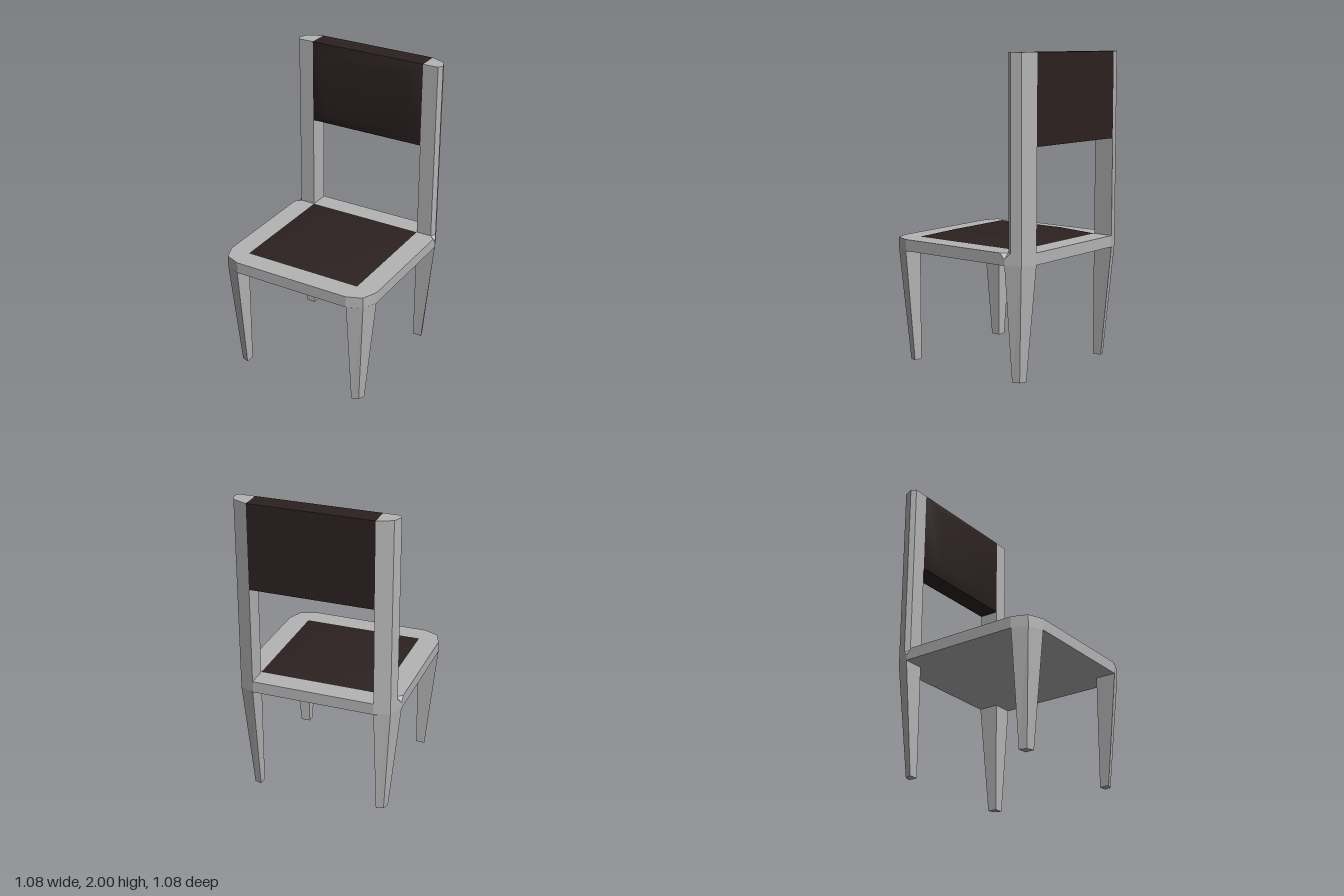
import * as THREE from 'three';
import { mergeVertices } from 'three/addons/utils/BufferGeometryUtils.js';

// Convex polygons become triangle fans, each turned away from the part's centre.
function solid(faces, centre, smooth = false) {
  const c = new THREE.Vector3(...centre);
  const pos = [];
  for (const face of faces) {
    const p = face.map(v => new THREE.Vector3(...v));
    const n = new THREE.Vector3();
    p.forEach((a, i) => n.add(a.clone().sub(c).cross(p[(i + 1) % p.length].clone().sub(c))));
    if (n.dot(p[0].clone().sub(c)) < 0) p.reverse();
    for (let i = 1; i < p.length - 1; i++) {
      for (const v of [p[0], p[i], p[i + 1]]) pos.push(v.x, v.y, v.z);
    }
  }
  let geo = new THREE.BufferGeometry();
  geo.setAttribute('position', new THREE.Float32BufferAttribute(pos, 3));
  if (smooth) geo = mergeVertices(geo);
  geo.computeVertexNormals();
  return geo;
}

// Faces of a body between two rings with the same number of corners.
function loft(a, b, caps = true) {
  const sides = a.map((p, i) => {
    const j = (i + 1) % a.length;
    return [p, a[j], b[j], b[i]];
  });
  return caps ? [...sides, a, b] : [...sides, b];
}

const ring = (xz, y) => xz.map(([x, z]) => [x, y, z]);
const flip = pts => pts.map(([x, y, z]) => [-x, y, z]);
const rect = (w, h) => [[-w, -h], [w, -h], [w, h], [-w, h]];

export function createModel() {
  const model = new THREE.Group();
  const frame = new THREE.MeshStandardMaterial({ color: 0xb4b4b4 });
  frame.name = 'greyFrame';
  const leather = new THREE.MeshStandardMaterial({ color: 0x2c2121 });
  leather.name = 'darkUpholstery';

  const add = (name, geo, mat) => {
    const mesh = new THREE.Mesh(geo, mat);
    mesh.name = name;
    model.add(mesh);
    return mesh;
  };

  const y0 = 0.735, y1 = 0.81;

  // Seat slab with chamfered corners and a small notch beside each post
  const A = [0.54, y1, -0.37], B = [0.54, 0.775, -0.403];
  const C = [0.525, y1, -0.437], D = [0.505, y1, -0.405];
  const half = [
    [[0.4, y0, 0.54], [0.5, y0, 0.5], [0.5, y1, 0.5], [0.4, y1, 0.54]],
    [[0.5, y0, 0.5], [0.54, y0, 0.4], [0.54, y1, 0.4], [0.5, y1, 0.5]],
    [[0.54, y0, 0.4], [0.54, y0, -0.403], B, A, [0.54, y1, 0.4]],
    [[0.54, y0, -0.403], [0.5, y0, -0.5], [0.5, y1, -0.5], C, B],
    [[0.5, y0, -0.5], [0.4, y0, -0.54], [0.4, y1, -0.54], [0.5, y1, -0.5]],
    [A, B, D], [D, B, C],
  ];
  const across = pts => [...pts, ...flip(pts).reverse()];
  const seatFaces = [
    ...half, ...half.map(flip),
    across([[0.4, y0, 0.54], [0.4, y1, 0.54]]),
    across([[0.4, y0, -0.54], [0.4, y1, -0.54]]),
    across([[0.4, y1, 0.54], [0.5, y1, 0.5], [0.54, y1, 0.4], A, D]),
    across([D, C, [0.5, y1, -0.5], [0.4, y1, -0.54]]),
    across([[0.4, y0, 0.54], [0.5, y0, 0.5], [0.54, y0, 0.4],
      [0.54, y0, -0.403], [0.5, y0, -0.5], [0.4, y0, -0.54]]),
  ];
  add('seat', solid(seatFaces, [0, 0.77, 0]), frame);

  // Tapered legs, straight on the inside, slanted on the outside
  const footPlan = [[0.403, 0.403], [0.465, 0.403], [0.45, 0.45], [0.403, 0.465]];
  const legPlan = [[0.403, 0.403], [0.54, 0.403], [0.5, 0.5], [0.403, 0.54]];
  for (const sx of [1, -1]) {
    for (const sz of [1, -1]) {
      const place = plan => plan.map(([x, z]) => [x * sx, z * sz]);
      const geo = solid(loft(ring(place(footPlan), 0), ring(place(legPlan), y0)),
        [0.44 * sx, 0.4, 0.44 * sz]);
      add((sz > 0 ? 'front' : 'back') + (sx > 0 ? 'Left' : 'Right') + 'Leg', geo, frame);
    }
  }

  // Back posts with a chamfered front corner
  const postPlan = [[0.402, -0.405], [0.505, -0.405], [0.525, -0.437], [0.5, -0.5], [0.402, -0.54]];
  for (const s of [1, -1]) {
    const plan = postPlan.map(([x, z]) => [x * s, z]);
    add(s > 0 ? 'leftPost' : 'rightPost',
      solid(loft(ring(plan, y1), ring(plan, 2)), [0.45 * s, 1.4, -0.46]), frame);
  }

  // Raised seat cushion
  add('seatCushion', solid(loft(ring(rect(0.402, 0.402), y1), ring(rect(0.245, 0.245), 0.855), false),
    [0, 0.8, 0], true), leather);

  // Backrest panel and its bevelled pad
  const panel = add('backrest', new THREE.BoxGeometry(0.804, 0.555, 0.135), leather);
  panel.position.set(0, 1.7225, -0.4725);
  const pad = (w, h, z) => rect(w, h).map(([x, y]) => [x, y + 1.7225, z]);
  add('backrestPad', solid(loft(pad(0.402, 0.2775, -0.405), pad(0.29, 0.2, -0.367), false),
    [0, 1.7225, -0.42], true), leather);

  return model;
}
